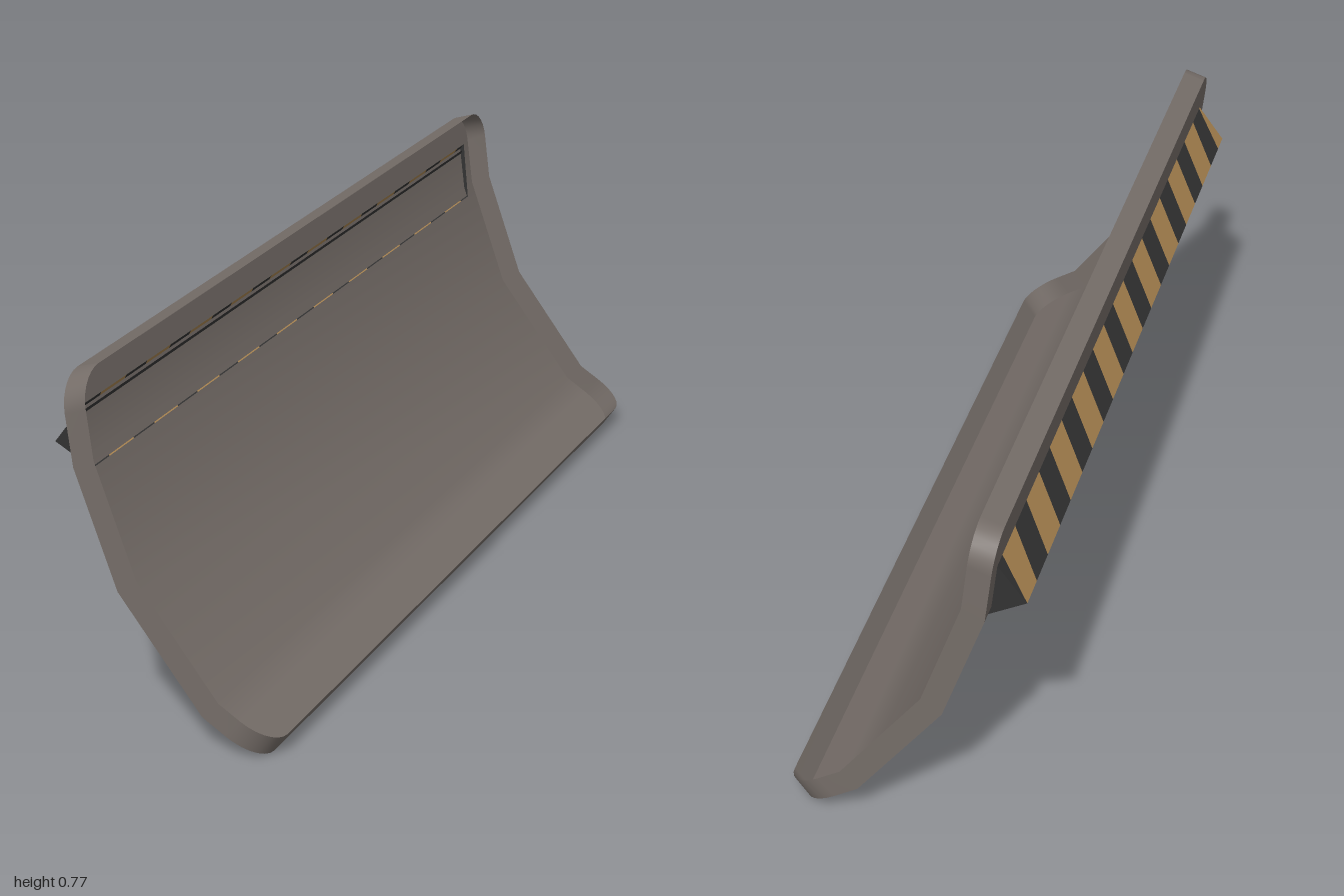
import * as THREE from 'three';

const mat = (name, color) => new THREE.MeshStandardMaterial({ name, color, side: THREE.DoubleSide });
const steel = mat('warm grey steel', 0x756d68);
const dark = mat('dark grey', 0x323232);
const amber = mat('amber', 0xa98450);

// Blade cross-section from top to bottom: open rim edge (+x) and outer sheet
const FRONT = [[-0.155, 0.767], [-0.133, 0.59], [-0.046, 0.346], [0.13, 0.116], [0.25, 0.044]];
const BACK = [[-0.203, 0.752], [-0.18, 0.568], [-0.09, 0.316], [0.093, 0.078], [0.22, 0]];

const lerp = (a, b, t) => a.map((v, i) => v + (b[i] - v) * t);

function add(group, name, geometry, material) {
  const m = new THREE.Mesh(geometry, material);
  m.name = name;
  group.add(m);
}

// Surface between two equally long rows of points
function ribbon(rowA, rowB) {
  const pos = [], idx = [], n = rowA.length;
  for (let i = 0; i < n; i++) pos.push(...rowA[i], ...rowB[i]);
  for (let i = 0; i < n - 1; i++) {
    const a = 2 * i;
    idx.push(a, a + 1, a + 2, a + 1, a + 3, a + 2);
  }
  const g = new THREE.BufferGeometry();
  g.setAttribute('position', new THREE.Float32BufferAttribute(pos, 3));
  g.setIndex(idx);
  g.computeVertexNormals();
  return g;
}

// Stations along the blade, crowded at both ends to round the corners
function stations() {
  const out = [], steps = 7;
  const corner = (seg, reach, rz, fromEnd) => {
    const list = [];
    for (let i = 0; i <= steps; i++) {
      const a = (i / steps) * Math.PI / 2;
      const t = reach * (1 - Math.cos(a));
      list.push({ seg, t: fromEnd ? 1 - t : t, w: 1 - rz + rz * Math.sin(a) });
    }
    return fromEnd ? list.reverse() : list;
  };
  out.push(...corner(0, 0.4, 0.07, false));
  for (let s = 1; s <= 3; s++) out.push({ seg: s, t: 0, w: 1 });
  out.push(...corner(3, 0.6, 0.065, true));
  return out.map(({ seg, t, w }) => ({
    f: lerp(FRONT[seg], FRONT[seg + 1], t), b: lerp(BACK[seg], BACK[seg + 1], t), w,
  }));
}

// Shallow open tray: one curved sheet with a rim standing up all round
function buildBlade() {
  const g = new THREE.Group();
  g.name = 'blade';
  const st = stations();
  const row = (key, side) => st.map(s => [...s[key], side * s.w]);
  const fl = row('f', 1), fr = row('f', -1), bl = row('b', 1), br = row('b', -1);
  add(g, 'bladeSheet', ribbon(br, bl), steel);
  const loop = (l, r) => [...l, ...r.slice().reverse(), l[0]];
  add(g, 'bladeRim', ribbon(loop(bl, br), loop(fl, fr)), steel);
  return g;
}

// Slanted band between edges a and b of the bar, clipped to the bar's ends
const Z0 = -0.95, Z1 = 0.945;
const clampZ = z => Math.min(Z1, Math.max(Z0, z));
function band(a, b, z0, z1, slant) {
  return ribbon(
    [[...a, clampZ(z0)], [...a, clampZ(z1)]],
    [[...b, clampZ(z0 + slant)], [...b, clampZ(z1 + slant)]]);
}

// Hollow three-sided bar, open on the inside, whose edge just pierces the sheet
function buildWarningBar() {
  const g = new THREE.Group();
  g.name = 'warningBar';
  const apex = [-0.252, 0.59], top = [-0.183, 0.682], low = [-0.17, 0.546];
  const pitch = 0.187, width = 0.1, slant = 0.07;
  // Alternate amber and dark bands on both outer faces
  for (let k = -1; k < 11; k++) {
    const z = -0.977 + k * pitch;
    for (const [name, edge] of [['upper', top], ['lower', low]]) {
      if (k >= 0) add(g, name + 'AmberBand', band(apex, edge, z, z + width, slant), amber);
      add(g, name + 'DarkBand', band(apex, edge, z + width, z + pitch, slant), dark);
    }
  }
  // Triangular end caps
  const cap = new THREE.Shape([apex, low, top].map(p => new THREE.Vector2(...p)));
  for (const z of [Z0, Z1]) add(g, 'endCap', new THREE.ShapeGeometry(cap).translate(0, 0, z), dark);
  // Dark lip along the line where the bar meets the inside of the sheet
  add(g, 'innerLip', band([-0.189, 0.658], [-0.187, 0.666], Z0, Z1, 0), dark);
  return g;
}

export function createModel() {
  const model = new THREE.Group();
  model.name = 'curvedBlade';
  model.add(buildBlade(), buildWarningBar());
  return model;
}
